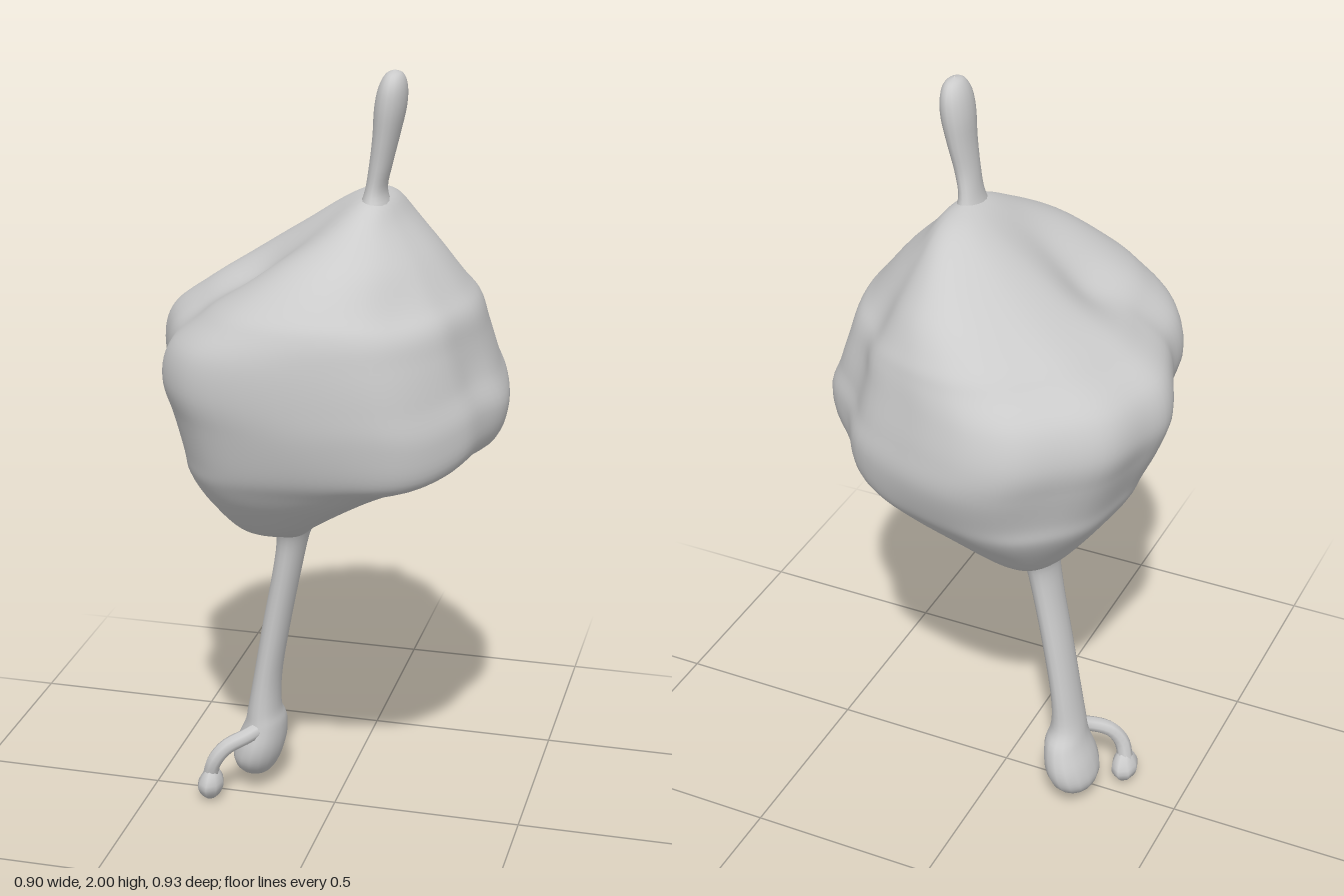
import * as THREE from 'three';

const material = new THREE.MeshStandardMaterial({ color: 0xcccccc, roughness: 0.8 });

// Closed plan outline of the body as x, z pairs, running from +x towards +z
const plan = [
  [0.45, 0.05], [0.41, 0.17], [0.38, 0.26], [0.3, 0.37], [0.21, 0.425], [0, 0.46],
  [-0.18, 0.44], [-0.28, 0.39], [-0.36, 0.28], [-0.38, 0.16], [-0.41, 0.08], [-0.455, -0.05],
  [-0.43, -0.15], [-0.39, -0.27], [-0.3, -0.36], [-0.2, -0.44], [-0.1, -0.465], [0, -0.455],
  [0.1, -0.425], [0.23, -0.37], [0.3, -0.28], [0.39, -0.2], [0.43, -0.1],
];
const planCurve = new THREE.CatmullRomCurve3(
  plan.map(([x, z]) => new THREE.Vector3(x / 0.455, 0, z / 0.46)), true);
const roundOutline = (t) =>
  new THREE.Vector3(Math.cos(t * Math.PI * 2), 0, Math.sin(t * Math.PI * 2));

// Irregular around the waist, rounder towards both ends, full below the waist
function bodyOutline(t, y) {
  const p = planCurve.getPoint(t);
  const round = p.clone().normalize();
  const diagonal = (2 * round.x * round.z) ** 2;
  const below = 1 - THREE.MathUtils.smoothstep(y, 1.0, 1.2);
  const blend = Math.exp(-(((y - 1.24) / 0.3) ** 2));
  return round.lerp(p, blend).multiplyScalar(1 + 0.06 * diagonal * below);
}

// Smooth skin through horizontal sections [y, xMin, xMax, zMin, zMax]
function loft(sections, outline, rings, sides, deform) {
  const mids = new THREE.CatmullRomCurve3(sections.map(([y, a, b, c, d]) =>
    new THREE.Vector3((a + b) / 2, y, (c + d) / 2)), false, 'catmullrom', 0.5);
  const halves = new THREE.CatmullRomCurve3(sections.map(([, a, b, c, d]) =>
    new THREE.Vector3((b - a) / 2, 0, (d - c) / 2)), false, 'catmullrom', 0.5);
  const positions = [], index = [];
  for (let i = 0; i <= rings; i++) {
    const m = mids.getPoint(i / rings), h = halves.getPoint(i / rings);
    for (let j = 0; j < sides; j++) {
      const p = outline(j / sides, m.y).multiply(h).add(m);
      if (deform) deform(p);
      positions.push(p.x, p.y, p.z);
      if (i === rings) continue;
      const a = i * sides + j, b = i * sides + (j + 1) % sides;
      index.push(a, a + sides, b, b, a + sides, b + sides);
    }
  }
  const g = new THREE.BufferGeometry();
  g.setAttribute('position', new THREE.Float32BufferAttribute(positions, 3));
  g.setIndex(index);
  g.computeVertexNormals();
  return g;
}

// Dents and lumps on the body: x, y, z, height, spread
const lumps = [
  [-0.18, 1.51, 0.11, -0.045, 0.09], [-0.05, 1.59, 0.12, -0.015, 0.07],
  [-0.34, 1.4, 0.22, -0.012, 0.07], [0.2, 1.46, 0.3, -0.02, 0.07],
  [0.22, 1.53, -0.22, -0.028, 0.1], [0.02, 1.64, -0.08, 0.012, 0.07],
  [0.36, 1.22, -0.24, -0.008, 0.07], [0.34, 1.08, 0.2, 0.012, 0.07],
  [0.38, 1.3, 0.1, -0.01, 0.07], [0.24, 1.02, -0.1, -0.012, 0.08],
];
const centre = new THREE.Vector3(0, 1.22, 0);
function sculpt(p) {
  const out = p.clone().sub(centre).normalize();
  let d = 0;
  for (const [x, y, z, height, spread] of lumps) {
    const r2 = (p.x - x) ** 2 + (p.y - y) ** 2 + (p.z - z) ** 2;
    d += height * Math.exp(-r2 / (2 * spread * spread));
  }
  p.addScaledVector(out, d);
  // Wavy lower ledge on the left flank, rising towards the back
  const flank = THREE.MathUtils.smoothstep(p.x, 0.1, 0.4);
  const low = 1 - THREE.MathUtils.smoothstep(p.y, 1.1, 1.45);
  p.y += flank * low * (0.018 * Math.cos((p.z - 0.2) * 14) - 0.08 * p.z + 0.015);
}

export function createModel() {
  const model = new THREE.Group();
  const add = (name, geometry) => {
    const mesh = new THREE.Mesh(geometry, material);
    mesh.name = name;
    model.add(mesh);
  };

  // Lumpy, leaning round body
  add('body', loft([
    [0.762, -0.13, -0.12, -0.04, -0.03],
    [0.772, -0.17, -0.08, -0.1, 0.03],
    [0.80, -0.19, -0.05, -0.16, 0.1],
    [0.86, -0.245, 0.01, -0.25, 0.235],
    [0.95, -0.315, 0.15, -0.335, 0.335],
    [1.02, -0.36, 0.285, -0.39, 0.39],
    [1.08, -0.385, 0.41, -0.42, 0.425],
    [1.18, -0.43, 0.45, -0.455, 0.452],
    [1.27, -0.455, 0.425, -0.457, 0.462],
    [1.36, -0.43, 0.398, -0.438, 0.46],
    [1.43, -0.345, 0.375, -0.41, 0.445],
    [1.48, -0.275, 0.335, -0.385, 0.415],
    [1.56, -0.15, 0.27, -0.32, 0.335],
    [1.635, -0.015, 0.195, -0.21, 0.21],
    [1.68, 0.06, 0.155, -0.1, 0.12],
    [1.70, 0.11, 0.115, 0.03, 0.04],
  ], bodyOutline, 90, 96, sculpt));

  // Upper stem with a rounded tip
  add('topStem', loft([
    [1.665, 0.075, 0.155, -0.015, 0.12],
    [1.71, 0.09, 0.142, 0.002, 0.1],
    [1.77, 0.1, 0.155, 0.01, 0.1],
    [1.84, 0.108, 0.172, 0.002, 0.107],
    [1.91, 0.112, 0.188, -0.004, 0.114],
    [1.96, 0.122, 0.19, 0.002, 0.11],
    [1.99, 0.138, 0.18, 0.022, 0.09],
    [2.0, 0.158, 0.16, 0.054, 0.056],
  ], roundOutline, 28, 16));

  // Lower stem swelling into a flattened bulb
  add('bottomStem', loft([
    [0.035, -0.235, -0.233, -0.061, -0.059],
    [0.05, -0.275, -0.195, -0.11, -0.012],
    [0.09, -0.295, -0.17, -0.15, 0.025],
    [0.14, -0.285, -0.155, -0.16, 0.035],
    [0.2, -0.26, -0.152, -0.142, 0.024],
    [0.25, -0.248, -0.162, -0.11, 0.018],
    [0.35, -0.23, -0.158, -0.103, 0.014],
    [0.5, -0.204, -0.132, -0.098, 0.015],
    [0.65, -0.175, -0.102, -0.096, 0.02],
    [0.75, -0.163, -0.08, -0.104, 0.028],
    [0.81, -0.18, -0.055, -0.135, 0.055],
  ], roundOutline, 44, 16));

  // Thin side twig curling down to a small bud
  const twig = new THREE.CatmullRomCurve3([
    [-0.2, 0.2, -0.01], [-0.235, 0.185, 0.03], [-0.285, 0.16, 0.06],
    [-0.315, 0.12, 0.07], [-0.33, 0.07, 0.062],
  ].map((p) => new THREE.Vector3(...p)));
  add('twig', new THREE.TubeGeometry(twig, 14, 0.021, 8));
  add('twigBud', loft([
    [0.0, -0.331, -0.329, 0.059, 0.061],
    [0.015, -0.352, -0.308, 0.03, 0.088],
    [0.045, -0.365, -0.294, 0.012, 0.108],
    [0.075, -0.352, -0.3, 0.026, 0.1],
    [0.1, -0.335, -0.315, 0.058, 0.078],
  ], roundOutline, 10, 8));

  return model;
}
